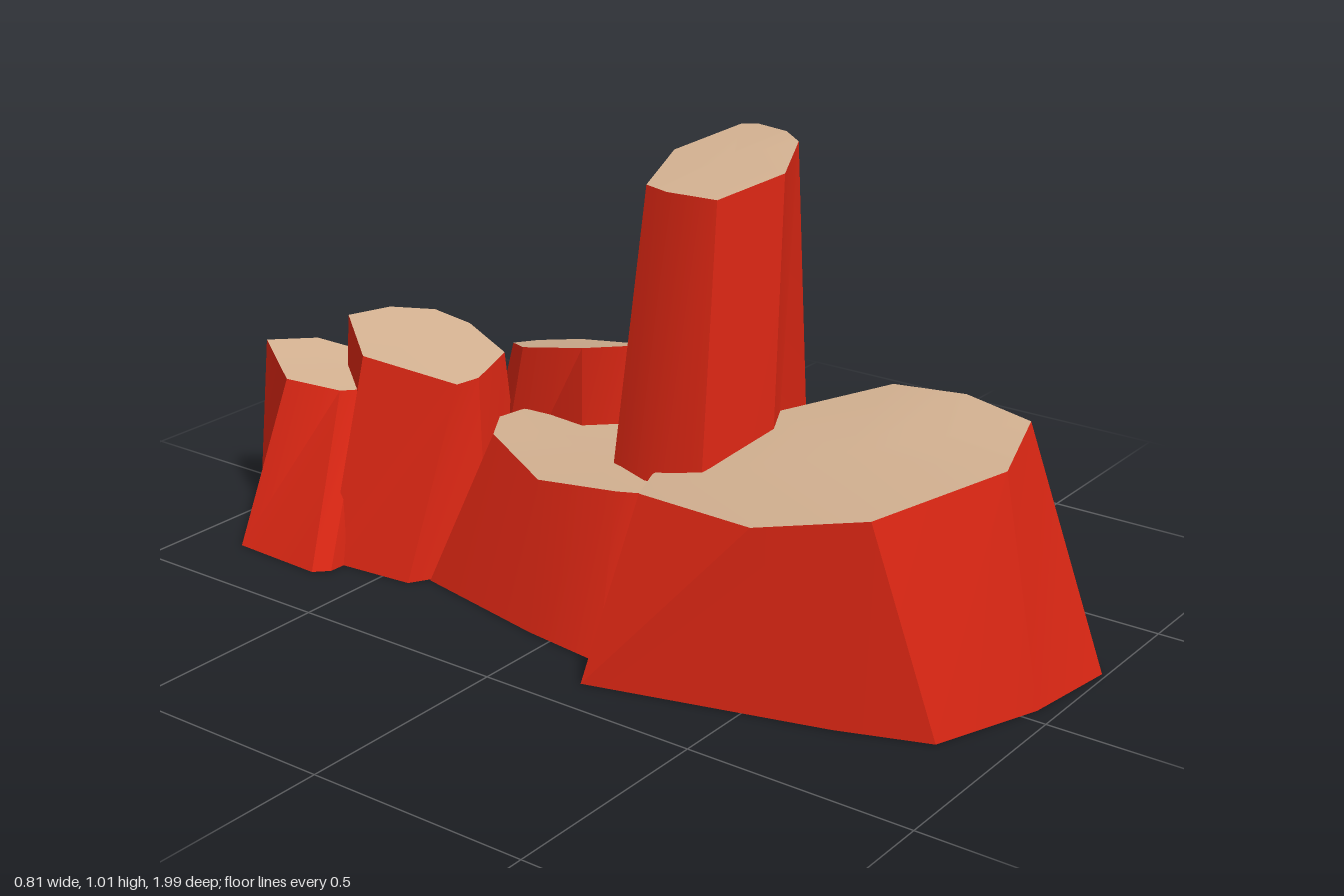
import * as THREE from 'three';
import { toCreasedNormals } from 'three/addons/utils/BufferGeometryUtils.js';

const red = new THREE.MeshStandardMaterial({ color: 0xd92613 });
const tan = new THREE.MeshStandardMaterial({ color: 0xd2b090 });

// Each corner: base x, base z, top x, top z, top height; counterclockwise from above.
const pillars = {
  frontPillar: [
    [-0.41, 0.17, -0.235, 0.185, 0.36], [-0.27, 0.68, -0.3, 0.5, 0.39],
    [-0.2, 0.87, -0.235, 0.73, 0.44], [0.04, 0.96, 0.03, 0.87, 0.49],
    [0.26, 0.99, 0.195, 0.83, 0.533], [0.4, 0.81, 0.22, 0.67, 0.547],
    [0.27, 0.42, 0.235, 0.49, 0.525], [0.2, 0.24, 0.11, 0.29, 0.457],
    [-0.2, 0.13, -0.155, 0.16, 0.37],
  ],
  tallPillar: [
    [-0.2, 0.14, -0.07, 0.13, 0.943], [-0.18, 0.28, -0.065, 0.25, 0.945],
    [0, 0.34, 0.1, 0.3, 0.972], [0.24, 0.3, 0.24, 0.24, 1.0],
    [0.32, 0.12, 0.27, 0.19, 1.008], [0.335, 0.01, 0.305, 0.095, 1.003],
    [0.28, -0.07, 0.295, 0.06, 1.0], [0.1, -0.13, 0.135, 0, 0.967],
    [-0.14, 0, -0.05, 0.065, 0.943],
  ],
  rightPillar: [
    [0.05, -0.45, 0.04, -0.34, 0.485], [0, -0.15, 0.035, -0.17, 0.52],
    [0.08, 0, 0.1, -0.065, 0.53], [0.32, -0.085, 0.275, -0.125, 0.468],
    [0.4, -0.29, 0.28, -0.37, 0.432], [0.325, -0.46, 0.24, -0.4, 0.435],
    [0.27, -0.55, 0.2, -0.425, 0.44], [0.15, -0.58, 0.115, -0.43, 0.456],
  ],
  lowPillar: [
    [-0.22, -0.4, -0.09, -0.32, 0.325], [-0.29, -0.06, -0.225, -0.085, 0.32],
    [-0.315, 0.14, -0.225, 0.12, 0.345], [-0.23, 0.26, -0.2, 0.2, 0.35],
    [0.05, 0.26, 0.05, 0.2, 0.365], [0.15, 0, 0.1, 0, 0.36],
    [0.1, -0.35, 0.04, -0.34, 0.34], [0, -0.4, -0.02, -0.36, 0.335],
  ],
  middlePillar: [
    [-0.28, -0.65, -0.18, -0.615, 0.468], [-0.26, -0.43, -0.12, -0.395, 0.432],
    [-0.1, -0.335, -0.065, -0.38, 0.435], [0.07, -0.36, 0.06, -0.41, 0.453],
    [0.13, -0.5, 0.1, -0.545, 0.483], [0.1, -0.66, 0.09, -0.64, 0.5],
    [0.02, -0.76, 0.02, -0.715, 0.51], [-0.1, -0.77, -0.07, -0.76, 0.505],
  ],
  backPillar: [
    [-0.335, -0.87, -0.225, -0.81, 0.385], [-0.345, -0.64, -0.18, -0.69, 0.37],
    [-0.315, -0.61, -0.14, -0.66, 0.368], [-0.08, -0.6, -0.03, -0.65, 0.37],
    [0.02, -0.7, 0.01, -0.71, 0.375], [0.02, -0.86, 0, -0.77, 0.395],
    [-0.055, -0.965, -0.05, -0.88, 0.42], [-0.145, -1, -0.135, -0.96, 0.422],
  ],
};

function meshFrom(points, material, name) {
  const geometry = new THREE.BufferGeometry().setFromPoints(points);
  return Object.assign(new THREE.Mesh(toCreasedNormals(geometry, 0.6), material), { name });
}

// Triangles from a ring's centre to its edges
function fan(ring) {
  const centre = ring.reduce((sum, p) => sum.add(p), new THREE.Vector3()).divideScalar(ring.length);
  return ring.flatMap((p, i) => [centre, p, ring[(i + 1) % ring.length]]);
}

// Tapered irregular column with a slanted cut top
function pillar(name, corners) {
  const base = corners.map(([x, z]) => new THREE.Vector3(x, 0, z));
  const top = corners.map(([, , x, z, y]) => new THREE.Vector3(x, y, z));
  const sides = base.flatMap((b, i) => {
    const j = (i + 1) % base.length;
    return [b, base[j], top[j], b, top[j], top[i]];
  });
  const group = new THREE.Group();
  group.name = name;
  group.add(
    meshFrom(sides, red, 'sides'),
    meshFrom(fan(top), tan, 'cutTop'),
    meshFrom(fan([...base].reverse()), tan, 'underside'),
  );
  return group;
}

export function createModel() {
  const model = new THREE.Group();
  model.name = 'rockPillars';
  for (const [name, corners] of Object.entries(pillars)) model.add(pillar(name, corners));
  return model;
}
